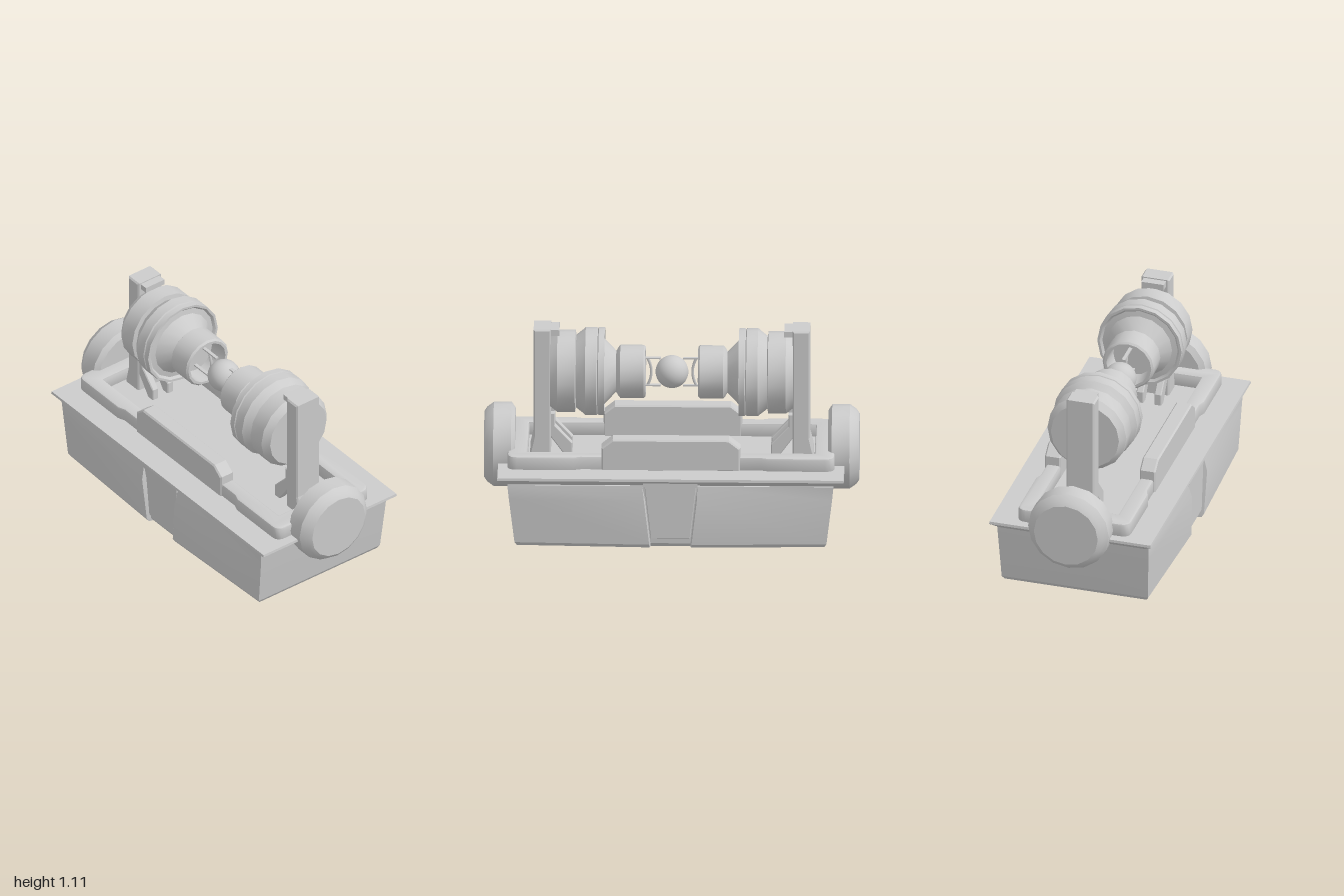
import * as THREE from 'three';
import { toCreasedNormals } from 'three/addons/utils/BufferGeometryUtils.js';

const material = new THREE.MeshStandardMaterial({ color: 0xcccccc });
const AXIS_Y = 0.845;

function mesh(name, geometry, parent, x = 0, y = 0, z = 0) {
  const m = new THREE.Mesh(geometry, material);
  m.name = name;
  m.position.set(x, y, z);
  parent.add(m);
  return m;
}

const box = (w, h, d) => new THREE.BoxGeometry(w, h, d);

// Solid of revolution along z; profile is [z, radius] pairs
function turned(profile) {
  const pts = profile.map(([z, r]) => new THREE.Vector2(r, z));
  const g = new THREE.LatheGeometry(pts, 16);
  g.rotateX(Math.PI / 2);
  return toCreasedNormals(g, 0.52);
}

// Side profile of [z, y] pairs, extruded across x and centred
function sideExtrude(points, width, bevel = 0.008) {
  const shape = new THREE.Shape(points.map(([z, y]) => new THREE.Vector2(-z, y)));
  const depth = width - 2 * bevel;
  const g = new THREE.ExtrudeGeometry(shape, {
    depth, bevelSize: bevel, bevelThickness: bevel, bevelOffset: -bevel, bevelSegments: 1,
  });
  g.translate(0, 0, -depth / 2);
  g.rotateY(Math.PI / 2);
  return g;
}

// Closed skin through stacked rings; each ring is a plan outline [x, z] at height y
function loft(rings) {
  const pos = [], idx = [], n = rings[0].plan.length;
  rings.forEach(({ y, plan }) => plan.forEach(([x, z]) => pos.push(x, y, z)));
  for (let k = 0; k < rings.length - 1; k++) {
    for (let i = 0; i < n; i++) {
      const a = k * n + i, b = k * n + (i + 1) % n;
      idx.push(a, b, a + n, b, b + n, a + n);
    }
  }
  const bottom = pos.length / 3, top = bottom + 1, last = (rings.length - 1) * n;
  pos.push(0, rings[0].y, 0, 0, rings[rings.length - 1].y, 0);
  for (let i = 0; i < n; i++) {
    const j = (i + 1) % n;
    idx.push(bottom, j, i, top, last + i, last + j);
  }
  const g = new THREE.BufferGeometry();
  g.setAttribute('position', new THREE.Float32BufferAttribute(pos, 3));
  g.setIndex(idx);
  return toCreasedNormals(g, 0.4);
}

// Plan of the tub: sides swell towards a shallow recess in the middle
function tubPlan(X, Z, bulge, w) {
  const half = [[X, Z], [X + bulge, w + 0.006], [X, w], [X, -w], [X + bulge, -w - 0.006], [X, -Z]];
  return [...half, ...half.map(([x, z]) => [-x, -z])];
}

const rectPlan = (X, Z) => [[X, Z], [X, -Z], [-X, -Z], [-X, Z]];

function buildBase(root) {
  const base = new THREE.Group();
  base.name = 'base';
  root.add(base);

  mesh('tub', loft([
    { y: 0, plan: tubPlan(0.395, 0.82, 0.025, 0.105) },
    { y: 0.02, plan: tubPlan(0.408, 0.832, 0.025, 0.107) },
    { y: 0.27, plan: tubPlan(0.418, 0.862, 0.025, 0.135) },
    { y: 0.35, plan: tubPlan(0.422, 0.87, 0, 0.145) },
  ]), base);

  mesh('lip', loft([
    { y: 0.34, plan: rectPlan(0.4, 0.87) },
    { y: 0.383, plan: rectPlan(0.45, 0.925) },
    { y: 0.397, plan: rectPlan(0.448, 0.923) },
  ]), base);

  // Raised frame with a rectangular well, slightly waisted in the middle
  const frame = new THREE.Shape();
  const X = 0.313, Z = 0.872, r = 0.05;
  frame.moveTo(X, -Z + r);
  frame.lineTo(X, -0.52);
  frame.lineTo(0.298, -0.48);
  frame.lineTo(0.298, 0.48);
  frame.lineTo(X, 0.52);
  frame.lineTo(X, Z - r);
  frame.quadraticCurveTo(X, Z, X - r, Z);
  frame.lineTo(-X + r, Z);
  frame.quadraticCurveTo(-X, Z, -X, Z - r);
  frame.lineTo(-X, 0.52);
  frame.lineTo(-0.298, 0.48);
  frame.lineTo(-0.298, -0.48);
  frame.lineTo(-X, -0.52);
  frame.lineTo(-X, -Z + r);
  frame.quadraticCurveTo(-X, -Z, -X + r, -Z);
  frame.lineTo(X - r, -Z);
  frame.quadraticCurveTo(X, -Z, X, -Z + r);
  frame.holes.push(new THREE.Path(rectPlan(0.222, 0.765).map(([x, z]) => new THREE.Vector2(x, z))));
  const frameGeo = new THREE.ExtrudeGeometry(frame, {
    depth: 0.07, bevelSize: 0.012, bevelThickness: 0.012, bevelOffset: -0.012, bevelSegments: 2, curveSegments: 5,
  });
  frameGeo.rotateX(-Math.PI / 2);
  mesh('deckFrame', toCreasedNormals(frameGeo, 0.6), base, 0, 0.388, 0);

  const railProfile = [[-0.37, 0.39], [0.37, 0.39], [0.37, 0.52], [0.31, 0.568], [-0.31, 0.568], [-0.37, 0.52]];
  const panelProfile = [[-0.105, 0.05], [0.105, 0.05], [0.138, 0.345], [-0.138, 0.345]];
  for (const s of [1, -1]) {
    mesh(s > 0 ? 'leftRail' : 'rightRail', sideExtrude(railProfile, 0.088), base, s * 0.264);
    mesh(s > 0 ? 'leftPanel' : 'rightPanel', sideExtrude(panelProfile, 0.02, 0.003), base, s * 0.414);
    mesh(s > 0 ? 'leftPanelHeader' : 'rightPanelHeader', box(0.025, 0.035, 0.29), base, s * 0.42, 0.362);
  }
}

// One end: wheel, post, braces and electrode housing, built facing +z
function buildEnd(name) {
  const end = new THREE.Group();
  end.name = name;

  mesh('endWheel', turned([
    [0.835, 0], [0.835, 0.195], [0.855, 0.225], [0.95, 0.225], [0.985, 0.2], [1, 0.178], [1, 0],
  ]), end, 0, 0.427);

  mesh('post', sideExtrude([
    [0.757, 0.39], [0.755, 0.42], [0.737, 0.5], [0.737, 1.105], [0.645, 1.105], [0.645, 0.39],
  ], 0.157), end);
  mesh('postTab', box(0.125, 0.032, 0.06), end, 0, 1.083, 0.63);

  const brace = [[0.65, 0.63], [0.622, 0.63], [0.622, 0.56], [0.53, 0.46], [0.53, 0.39], [0.57, 0.39], [0.65, 0.5]];
  for (const s of [1, -1]) {
    mesh(s > 0 ? 'leftBrace' : 'rightBrace', sideExtrude(brace, 0.04, 0.005), end, s * 0.05);
  }

  // Ribbed housing with an open cup facing the ball
  mesh('housing', turned([
    [0.25, 0], [0.25, 0.112], [0.14, 0.118], [0.14, 0.132], [0.15, 0.142], [0.275, 0.142], [0.285, 0.13],
    [0.297, 0.11], [0.365, 0.18], [0.37, 0.21], [0.358, 0.222], [0.358, 0.235], [0.39, 0.235], [0.395, 0.228],
    [0.4, 0.235], [0.46, 0.235], [0.475, 0.222], [0.51, 0.195], [0.515, 0.22], [0.61, 0.22], [0.648, 0.19], [0.648, 0],
  ]), end, 0, AXIS_Y);

  // Slim claws holding the ball
  for (const s of [1, -1]) {
    mesh(s > 0 ? 'upperProng' : 'lowerProng', box(0.018, 0.008, 0.19), end, 0, AXIS_Y + s * 0.077, 0.155);
  }
  const curve = new THREE.QuadraticBezierCurve3(
    new THREE.Vector3(0, 0.077, 0.13), new THREE.Vector3(0, 0, 0.09), new THREE.Vector3(0, -0.077, 0.13));
  mesh('clawArc', new THREE.TubeGeometry(curve, 8, 0.008, 6), end, 0, AXIS_Y);
  return end;
}

export function createModel() {
  const root = new THREE.Group();
  root.name = 'ballDevice';
  buildBase(root);
  const front = buildEnd('frontEnd');
  const back = buildEnd('backEnd');
  back.rotation.y = Math.PI;
  root.add(front, back);
  mesh('ball', new THREE.SphereGeometry(0.088, 24, 16), root, 0, AXIS_Y);
  return root;
}
